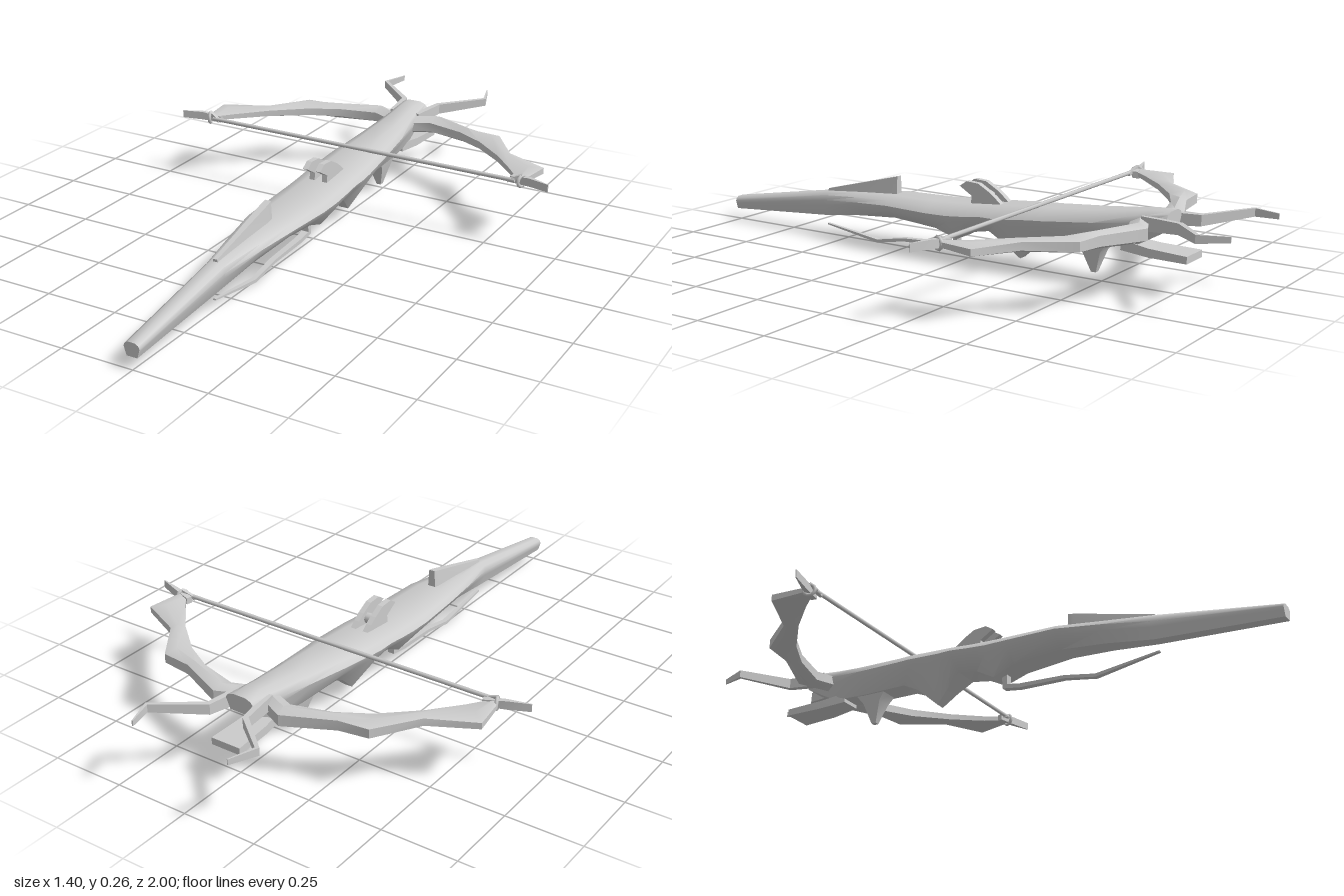
import * as THREE from 'three';
import { toCreasedNormals } from 'three/addons/utils/BufferGeometryUtils.js';

const material = new THREE.MeshStandardMaterial({ color: 0xcccccc });

function part(name, geometry, parent) {
  const mesh = new THREE.Mesh(geometry, material);
  mesh.name = name;
  parent.add(mesh);
  return mesh;
}

// Closed skin through equal-sized rings of [x, y, z], capped at both ends.
function loft(rings, crease = 0.6) {
  const n = rings[0].length, verts = rings.flat(), tris = [];
  for (let i = 0; i < rings.length - 1; i++) {
    for (let j = 0; j < n; j++) {
      const a = i * n + j, b = i * n + (j + 1) % n;
      tris.push([a, b, a + n], [b, b + n, a + n]);
    }
  }
  const last = (rings.length - 1) * n;
  for (let j = 1; j < n - 1; j++) {
    tris.push([0, j + 1, j], [last, last + j, last + j + 1]);
  }
  // Turn the skin outwards whichever way the rings run.
  const v = verts.map(p => new THREE.Vector3(...p));
  let volume = 0;
  for (const [a, b, c] of tris) volume += v[a].dot(v[b].clone().cross(v[c]));
  const index = tris.flatMap(([a, b, c]) => volume < 0 ? [a, c, b] : [a, b, c]);
  const g = new THREE.BufferGeometry();
  g.setAttribute('position', new THREE.Float32BufferAttribute(verts.flat(), 3));
  g.setIndex(index);
  return toCreasedNormals(g, crease);
}

// Rectangular bar along a path; sizes = [thickness, height along up] per point.
function bar(points, sizes, up) {
  const p = points.map(q => new THREE.Vector3(...q));
  return loft(p.map((q, i) => {
    const t = p[Math.min(i + 1, p.length - 1)].clone().sub(p[Math.max(i - 1, 0)]).normalize();
    const side = new THREE.Vector3().crossVectors(up, t).normalize();
    const [w, h] = sizes[i];
    return [[-1, -1], [1, -1], [1, 1], [-1, 1]].map(([a, b]) =>
      q.clone().addScaledVector(side, a * w / 2).addScaledVector(up, b * h / 2).toArray());
  }), 0.3);
}

// Flat plate cut from a [z, y] outline, centred at x.
function plate(outline, width, x = 0) {
  const shape = new THREE.Shape(outline.map(q => new THREE.Vector2(...q)));
  const g = new THREE.ExtrudeGeometry(shape, { depth: width, bevelEnabled: false });
  return g.rotateY(-Math.PI / 2).translate(x + width / 2, 0, 0);
}

export function createModel() {
  const model = new THREE.Group();
  model.name = 'crossbow';
  const UP = new THREE.Vector3(0, 1, 0), SIDE = new THREE.Vector3(1, 0, 0);

  // Stock: [z, half width, top y, bottom y, bottom half width]
  const stations = [
    [1, 0.027, 0.09, 0.045, 0.018], [0.58, 0.035, 0.16, 0.075, 0.02],
    [0.42, 0.065, 0.175, 0.097, 0.03], [0.27, 0.09, 0.187, 0.11, 0.038],
    [0.1, 0.1, 0.19, 0.1, 0.045], [0.02, 0.1, 0.195, 0.072, 0.04],
    [-0.04, 0.1, 0.198, 0.105, 0.045], [-0.11, 0.1, 0.204, 0.118, 0.045],
    [-0.16, 0.1, 0.209, 0.08, 0.03], [-0.21, 0.098, 0.213, 0.036, 0.016],
    [-0.28, 0.093, 0.22, 0.1, 0.03], [-0.33, 0.088, 0.222, 0.124, 0.04],
    [-0.5, 0.07, 0.237, 0.128, 0.038], [-0.62, 0.057, 0.25, 0.138, 0.034],
    [-0.67, 0.053, 0.257, 0.165, 0.034], [-0.74, 0.05, 0.26, 0.205, 0.035],
  ];
  part('stock', loft(stations.map(([z, w, t, b, bw]) => {
    const h = Math.min(t - b, 0.1);
    const half = [[0.45 * w, t], [0.85 * w, t - 0.14 * h], [w, t - 0.34 * h],
      [0.9 * w, t - 0.56 * h], [bw, b]];
    return [...half.map(([x, y]) => [x, y, z]),
      ...half.reverse().map(([x, y]) => [-x, y, z])];
  }), 0.75), model);

  // Nose block below the stock's front end
  part('noseBlock', loft([[-0.58, 0.035, 0.155, 0.122], [-0.68, 0.045, 0.143, 0.115],
    [-0.81, 0.052, 0.138, 0.115]].map(([z, w, t, b]) =>
    [[-w, b, z], [w, b, z], [w, t, z], [-w, t, z]]), 0.3), model);

  // Pointed spur under the fore-end
  part('spur', loft([[0.145, -0.405, -0.54, 0.036], [0.1, -0.44, -0.505, 0.026],
    [0.03, -0.465, -0.482, 0.008]].map(([y, z0, z1, w]) =>
    [[-w, y, z0], [w, y, z0], [w, y, z1], [-w, y, z1]]), 0.4), model);

  // Rear sight wedge
  part('rearSight', loft([[0.58, 0.012, 0.168], [0.3, 0.02, 0.24], [0.28, 0.017, 0.245]]
    .map(([z, w, t]) => [[-w, 0.14, z], [w, 0.14, z], [w * 0.6, t, z], [-w * 0.6, t, z]]),
    0.3), model);

  // Twin catch plates with a roller between them
  const hook = [[0.012, 0.25], [-0.015, 0.268], [-0.06, 0.265], [-0.1, 0.243],
    [-0.125, 0.225], [-0.16, 0.195], [-0.03, 0.18], [-0.035, 0.222]];
  for (const s of [-1, 1]) part('catchPlate', plate(hook, 0.019, s * 0.023), model);
  const roller = part('catchRoller', new THREE.CylinderGeometry(0.018, 0.018, 0.04, 8), model);
  roller.rotation.z = Math.PI / 2;
  roller.position.set(0, 0.22, -0.08);

  // Long trigger lever
  part('triggerLever', bar(
    [[0, 0.11, 0.045], [0, 0.045, 0.045], [0, 0.036, 0.1], [0, 0.029, 0.26],
      [0, 0.009, 0.37], [0, 0.04, 0.59]],
    [[0.022, 0.024], [0.02, 0.024], [0.014, 0.022], [0.011, 0.02], [0.011, 0.018], [0.005, 0.01]],
    SIDE), model);

  // Limbs: [outer x, outer z, inner x, inner z, bottom y, top y]
  const limb = [
    [0.03, -0.67, 0.03, -0.61, 0.175, 0.235], [0.12, -0.715, 0.11, -0.645, 0.176, 0.238],
    [0.28, -0.645, 0.24, -0.61, 0.183, 0.238], [0.38, -0.635, 0.34, -0.555, 0.188, 0.238],
    [0.476, -0.5, 0.45, -0.46, 0.196, 0.237], [0.625, -0.43, 0.535, -0.365, 0.202, 0.237],
    [0.61, -0.32, 0.58, -0.305, 0.21, 0.236],
  ];
  for (const s of [-1, 1]) {
    const side = new THREE.Group();
    side.name = s > 0 ? 'leftLimbGroup' : 'rightLimbGroup';
    model.add(side);

    part('limb', loft(limb.map(([ox, oz, ix, iz, b, t]) => {
      const at = (k, y) => [s * (ox + (ix - ox) * k), y, oz + (iz - oz) * k];
      const m = (b + t) / 2, h = t - b;
      return [at(0, m - 0.3 * h), at(0.45, b), at(1, m - 0.25 * h),
        at(1, m + 0.25 * h), at(0.45, t), at(0, m + 0.3 * h)];
    }), 0.8), side);

    // Flat tip beyond the limb, wrapped by the string loop
    part('limbTip', bar([[s * 0.56, 0.222, -0.315], [s * 0.63, 0.228, -0.3],
      [s * 0.7, 0.228, -0.277]], [[0.02, 0.022], [0.014, 0.028], [0.003, 0.026]], UP), side);
    const loop = part('stringLoop', new THREE.TorusGeometry(0.018, 0.006, 6, 10), side);
    loop.position.set(s * 0.6, 0.224, -0.303);
    loop.rotation.y = s * 1.2;
    part('stringEnd', bar([[s * 0.6, 0.242, -0.303], [s * 0.555, 0.222, -0.292]],
      [[0.012, 0.012], [0.012, 0.012]], UP), side);

    // Cranked prong of the front stirrup
    part('stirrupProng', bar(
      [[s * 0.045, 0.22, -0.66], [s * 0.068, 0.224, -0.795], [s * 0.202, 0.238, -0.91],
        [s * 0.172, 0.242, -1]],
      [[0.024, 0.045], [0.018, 0.035], [0.013, 0.026], [0.004, 0.018]], UP), side);
  }

  // Drawn straight string
  const string = part('string', new THREE.CylinderGeometry(0.007, 0.007, 1.16, 6), model);
  string.rotation.z = Math.PI / 2;
  string.position.set(0, 0.226, -0.292);
  return model;
}
